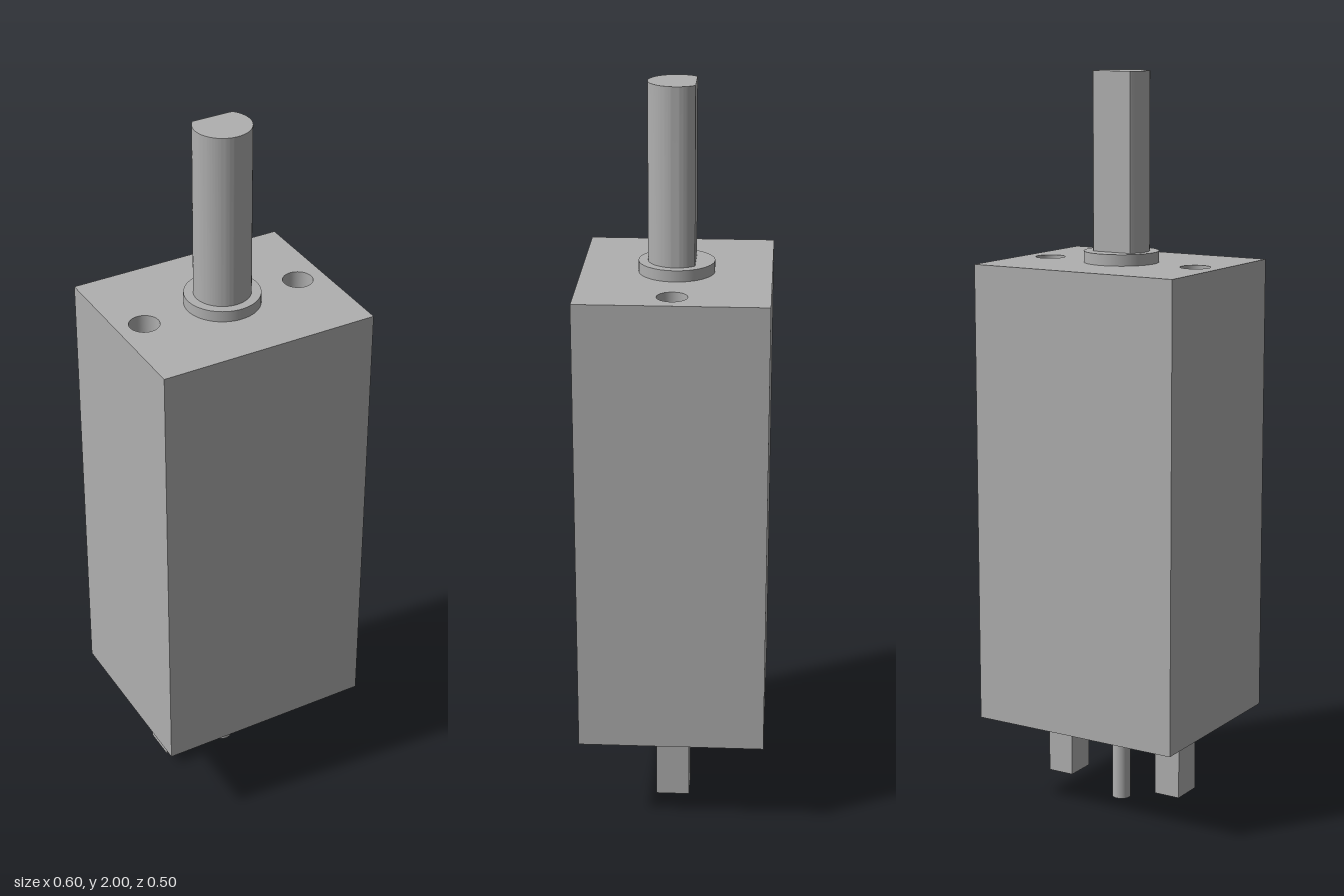
import * as THREE from 'three';
import { toCreasedNormals } from 'three/addons/utils/BufferGeometryUtils.js';

export function createModel() {
  const model = new THREE.Group();
  model.name = 'gearMotor';
  const metal = new THREE.MeshStandardMaterial({ color: 0xb0b0b0 });
  metal.name = 'grey metal';

  const add = (name, geometry, x, y, z = 0) => {
    const mesh = new THREE.Mesh(geometry, metal);
    mesh.name = name;
    mesh.position.set(x, y, z);
    model.add(mesh);
    return mesh;
  };

  const width = 0.6, depth = 0.5, bottom = 0.25, top = 1.5;
  const holeX = 0.225, holeRadius = 0.04, holeDepth = 0.15;

  // Housing: a box whose top face is replaced by a plate with two holes
  const box = new THREE.BoxGeometry(width, top - bottom, depth);
  const index = Array.from(box.index.array);
  index.splice(12, 6); // remove the +y face
  box.setIndex(index);
  box.clearGroups();
  add('housing', box, 0, (top + bottom) / 2);

  const plate = new THREE.Shape([
    new THREE.Vector2(-width / 2, -depth / 2),
    new THREE.Vector2(width / 2, -depth / 2),
    new THREE.Vector2(width / 2, depth / 2),
    new THREE.Vector2(-width / 2, depth / 2),
  ]);
  for (const side of [-1, 1]) {
    const hole = new THREE.Path();
    hole.absarc(side * holeX, 0, holeRadius, 0, Math.PI * 2, true);
    plate.holes.push(hole);
  }
  add('housingTop', new THREE.ShapeGeometry(plate, 24).rotateX(-Math.PI / 2), 0, top);

  // Blind mounting holes and rectangular terminals, mirrored left and right
  for (const side of [-1, 1]) {
    const label = side > 0 ? 'left' : 'right';
    const wall = new THREE.CylinderGeometry(holeRadius, holeRadius, holeDepth, 48, 1, true);
    wall.scale(-1, 1, 1); // turn the wall to face inwards
    const normals = wall.attributes.normal;
    for (let i = 0; i < normals.count; i++) {
      const p = wall.attributes.position;
      normals.setXYZ(i, -p.getX(i) / holeRadius, 0, -p.getZ(i) / holeRadius);
    }
    add(label + 'HoleWall', wall, side * holeX, top - holeDepth / 2);
    add(label + 'HoleFloor', new THREE.CircleGeometry(holeRadius, 48).rotateX(-Math.PI / 2),
      side * holeX, top - holeDepth);
    add(label + 'Terminal', new THREE.BoxGeometry(0.075, 0.2, 0.09), side * 0.1725, 0.15);
  }

  // Collar around the shaft
  add('collar', new THREE.CylinderGeometry(0.1, 0.1, 0.03, 64), 0, top + 0.015);

  // D-shaped output shaft, its flat facing the back
  const radius = 0.075, flat = 0.05, angle = Math.asin(flat / radius);
  const section = new THREE.Shape();
  section.absarc(0, 0, radius, Math.PI - angle, Math.PI * 2 + angle, false);
  section.closePath();
  const shaft = new THREE.ExtrudeGeometry(section, { depth: 0.47, bevelEnabled: false, curveSegments: 48 });
  shaft.rotateX(-Math.PI / 2);
  add('shaft', toCreasedNormals(shaft, 0.4), 0, 1.53);

  // Thin round pin under the housing
  add('rearPin', new THREE.CylinderGeometry(0.025, 0.025, 0.25, 32), 0, 0.125);

  return model;
}
